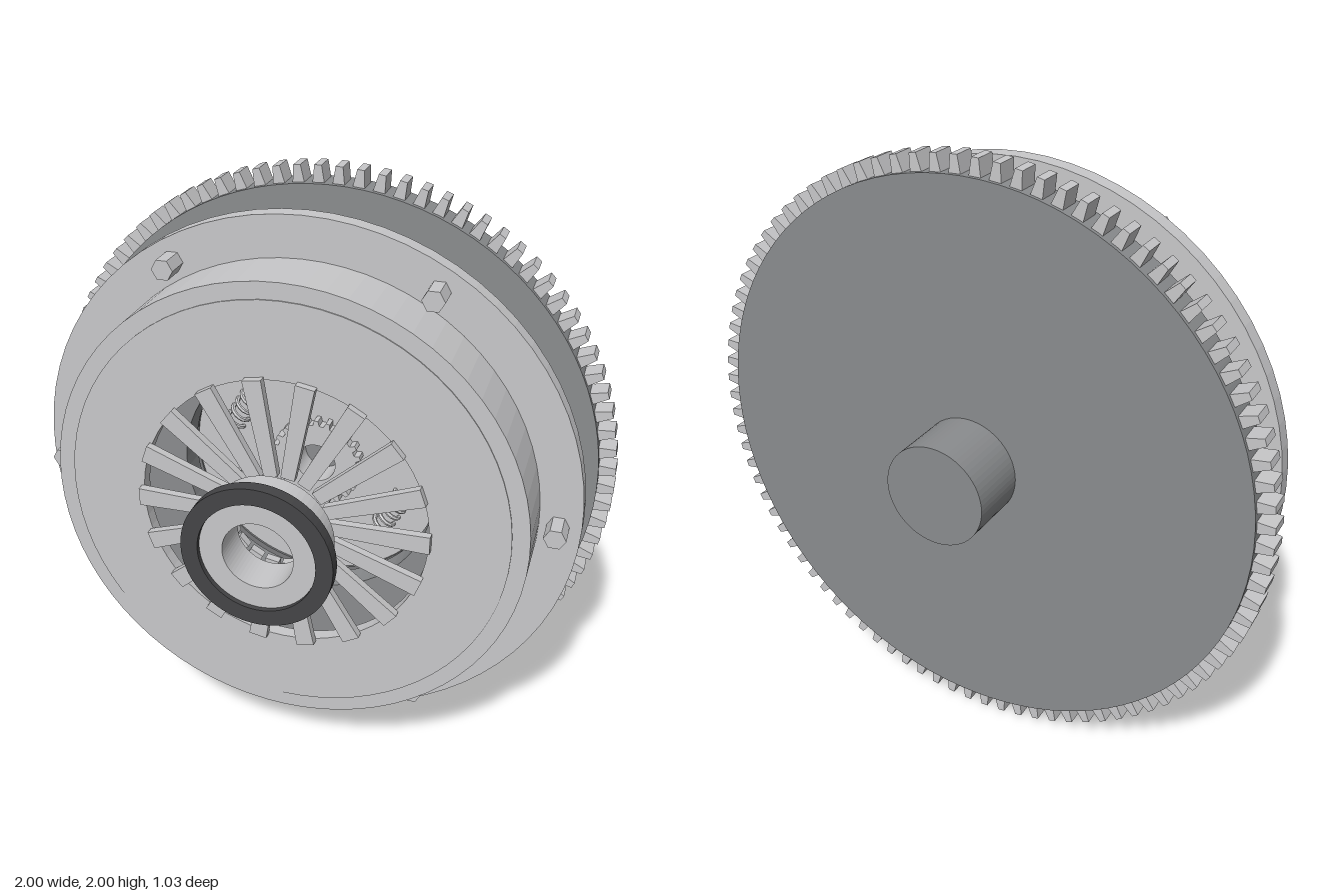
import * as THREE from 'three';

const mat = (name, color) => {
  const m = new THREE.MeshStandardMaterial({ color });
  m.name = name;
  m.flatShading = true;
  return m;
};

export function createModel() {
  const steel = mat('light steel', 0xc8c8ca);
  const iron = mat('cast iron', 0x8a8c8e);
  const lining = mat('friction lining', 0x78797b);
  const rubber = mat('dark ring', 0x454547);

  const model = new THREE.Group();
  model.name = 'clutchAssembly';
  // Everything is built around the z axis, then raised by one unit
  const axis = new THREE.Group();
  axis.name = 'rotatingParts';
  axis.position.y = 1;
  model.add(axis);

  const add = (name, geometry, material, parent = axis) => {
    const mesh = new THREE.Mesh(geometry, material);
    mesh.name = name;
    parent.add(mesh);
    return mesh;
  };
  // Closed profile of [radius, z] points turned around z
  const turned = (name, points, material, segments = 72) => {
    const profile = [...points, points[0]].map(([r, z]) => new THREE.Vector2(r, z));
    return add(name, new THREE.LatheGeometry(profile, segments).rotateX(Math.PI / 2), material);
  };
  const ring = (name, inner, outer, z0, z1, material, segments) =>
    turned(name, [[inner, z0], [outer, z0], [outer, z1], [inner, z1]], material, segments);
  const disc = (name, r, z0, z1, material, segments = 72) =>
    add(name, new THREE.CylinderGeometry(r, r, z1 - z0, segments)
      .rotateX(Math.PI / 2).translate(0, 0, (z0 + z1) / 2), material);
  // Toothed wheel: each tooth is a trapezoid between root and tip radius
  const toothed = (name, count, root, tip, hole, z0, z1, material) => {
    const shape = new THREE.Shape();
    const step = (Math.PI * 2) / count;
    const corners = [[-0.3, root], [-0.17, tip], [0.17, tip], [0.3, root]];
    for (let i = 0; i < count; i++) {
      corners.forEach(([offset, r], k) => {
        const a = (i + offset) * step;
        const x = r * Math.cos(a), y = r * Math.sin(a);
        if (i + k === 0) shape.moveTo(x, y);
        else shape.lineTo(x, y);
      });
    }
    shape.closePath();
    shape.holes.push(new THREE.Path().absarc(0, 0, hole, 0, Math.PI * 2, true));
    const g = new THREE.ExtrudeGeometry(shape, { depth: z1 - z0, bevelEnabled: false, curveSegments: 36 });
    return add(name, g.translate(0, 0, z0), material);
  };

  // Flywheel, starter ring gear and crankshaft end
  disc('flywheel', 0.945, -0.31, -0.205, iron, 96);
  toothed('ringGear', 90, 0.943, 1.0, 0.9, -0.297, -0.222, steel);
  disc('crankshaftEnd', 0.17, -0.517, -0.31, iron, 64);

  // Clutch disc: lining, centre plate and splined hub
  ring('frictionLining', 0.45, 0.735, -0.18, -0.132, lining);
  ring('clutchDiscPlate', 0.1, 0.455, -0.175, -0.14, steel);
  toothed('splinedHub', 24, 0.145, 0.163, 0.07, -0.204, -0.1, steel);

  // Six damper coil springs lying along the tangent
  const springs = new THREE.Group();
  springs.name = 'damperSprings';
  axis.add(springs);
  const coil = new THREE.Curve();
  coil.getPoint = (t, target = new THREE.Vector3()) => {
    const a = t * Math.PI * 2 * 5;
    return target.set(0.315 + 0.034 * Math.cos(a), (t - 0.5) * 0.17, -0.138 + 0.034 * Math.sin(a));
  };
  const springGeometry = new THREE.TubeGeometry(coil, 70, 0.008, 6);
  for (let i = 0; i < 6; i++) {
    add('damperSpring', springGeometry, steel, springs).rotation.z = Math.PI / 6 + (i * Math.PI) / 3;
  }

  // Pressure plate
  ring('pressurePlate', 0.44, 0.755, -0.097, 0.0, iron);

  // Hollow cover with flange and a slightly raised front plate
  turned('cover', [
    [0.75, -0.004], [0.925, -0.004], [0.925, 0.053], [0.79, 0.053],
    [0.79, 0.26], [0.48, 0.26], [0.48, 0.22], [0.75, 0.22],
  ], steel);
  ring('coverFace', 0.48, 0.735, 0.259, 0.264, steel);

  // Six hexagonal flange bolts
  const boltGeometry = new THREE.CylinderGeometry(0.036, 0.036, 0.09, 6)
    .rotateX(Math.PI / 2).rotateZ(Math.PI / 6);
  for (let i = 0; i < 6; i++) {
    const a = (i * Math.PI) / 3;
    add('flangeBolt', boltGeometry, steel)
      .position.set(0.85 * Math.cos(a), 0.85 * Math.sin(a), 0.092);
  }

  // Eighteen diaphragm spring fingers, narrowing towards the centre
  const fingerShape = new THREE.Shape([
    new THREE.Vector2(0.16, -0.023), new THREE.Vector2(0.488, -0.031),
    new THREE.Vector2(0.488, 0.031), new THREE.Vector2(0.16, 0.023),
  ]);
  const fingerGeometry = new THREE.ExtrudeGeometry(fingerShape, { depth: 0.028, bevelEnabled: false })
    .translate(0, 0, 0.262);
  for (let i = 0; i < 18; i++) {
    add('diaphragmFinger', fingerGeometry, steel).rotation.z = (i * Math.PI) / 9;
  }

  // Release bearing: sleeve with a dark contact ring
  turned('releaseBearingSleeve', [
    [0.115, 0.363], [0.205, 0.363], [0.205, 0.48], [0.192, 0.48], [0.192, 0.5], [0.115, 0.5],
  ], steel, 64);
  ring('releaseBearingRing', 0.19, 0.245, 0.475, 0.517, rubber, 64);

  return model;
}
